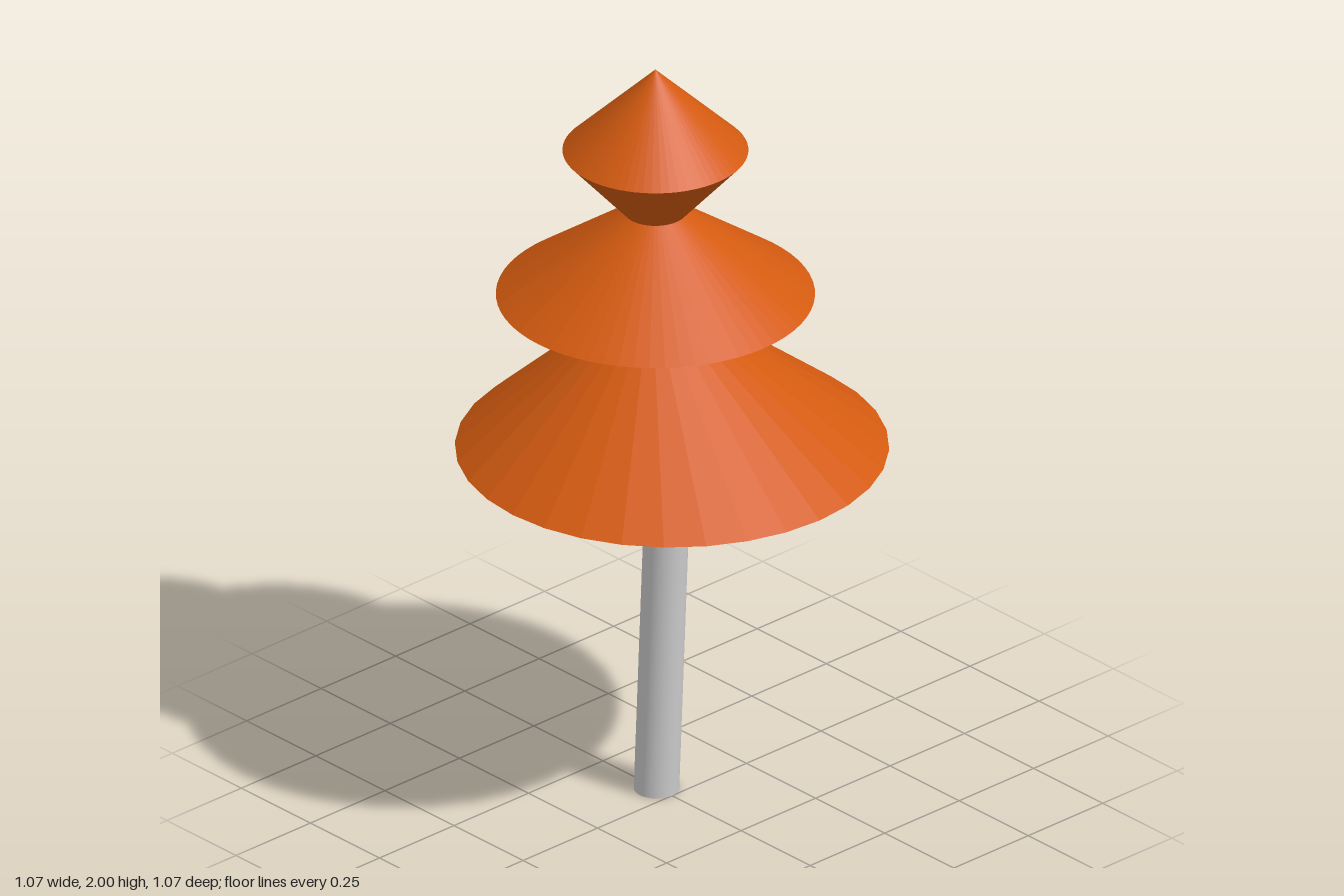
import * as THREE from 'three';

const AXIS_X = -0.06; // the upper tiers sit slightly off the skirt's centre

// Lathe whose rings are shifted in x according to their height
function skewedLathe(name, profile, sides, material, shift) {
  const points = profile.map(([r, y]) => new THREE.Vector2(r, y));
  const geometry = new THREE.LatheGeometry(points, sides);
  const pos = geometry.attributes.position;
  for (let i = 0; i < pos.count; i++) pos.setX(i, pos.getX(i) + shift(pos.getY(i), pos.getX(i), pos.getZ(i)));
  geometry.computeVertexNormals();
  const mesh = new THREE.Mesh(geometry, material);
  mesh.name = name;
  return mesh;
}

export function createModel() {
  const group = new THREE.Group();
  group.name = 'tree';
  const foliage = new THREE.MeshStandardMaterial({ color: 0xd35a10, flatShading: true });
  const bark = new THREE.MeshStandardMaterial({ color: 0xcccccc });

  // Leaning trunk with level ends, reaching into the hollow skirt
  const trunkGeometry = new THREE.CylinderGeometry(0.056, 0.056, 1.1, 32);
  trunkGeometry.translate(0, 0.55, 0);
  trunkGeometry.applyMatrix4(new THREE.Matrix4().makeShear(0, 0, 0.047, 0, 0, 0).setPosition(-0.056, 0, 0));
  const trunk = new THREE.Mesh(trunkGeometry, bark);
  trunk.name = 'trunk';
  // Lean: x grows with height
  const p = trunkGeometry.attributes.position;
  const base = new THREE.CylinderGeometry(0.056, 0.056, 1.1, 32).attributes.position;
  for (let i = 0; i < p.count; i++) {
    const y = base.getY(i) + 0.55;
    p.setXYZ(i, base.getX(i) - 0.056 + 0.047 * y, y, base.getZ(i));
  }
  trunkGeometry.computeVertexNormals();
  group.add(trunk);

  // Bottom skirt: shallow hollow underneath, skewed towards the upper axis
  const skirtShift = (y, x, z) =>
    Math.hypot(x, z) < 0.3 && y > 1.2 ? AXIS_X : 0;
  group.add(skewedLathe('lowerTier',
    [[0, 1.1], [0.535, 0.975], [0.105, 1.318]], 32, foliage, skirtShift));

  // Middle and top tiers
  const upperShift = () => AXIS_X;
  group.add(skewedLathe('middleTier',
    [[0.105, 1.318], [0.393, 1.376], [0.077, 1.605]], 64, foliage, upperShift));
  group.add(skewedLathe('topTier',
    [[0.077, 1.605], [0.229, 1.776], [0, 2]], 64, foliage, upperShift));

  return group;
}
